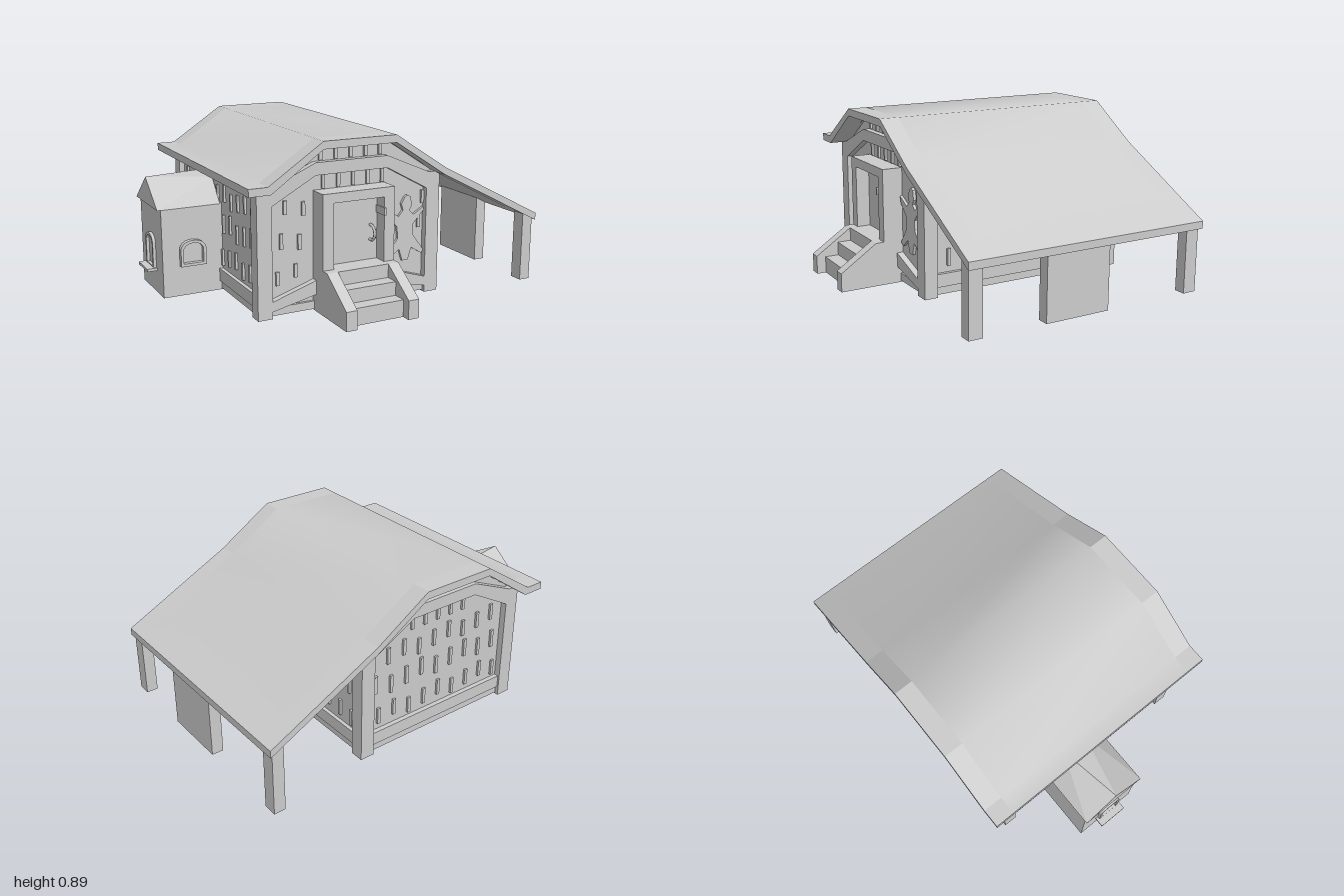
import * as THREE from 'three';
import { toCreasedNormals } from 'three/addons/utils/BufferGeometryUtils.js';
import { ConvexGeometry } from 'three/addons/geometries/ConvexGeometry.js';

const MAT = new THREE.MeshStandardMaterial({ color: 0xcccccc });
const CX = -0.115;                      // middle of the house in x
const FRONT = 0.49, BACK = -0.715;      // outer faces of the corner posts
const LEFT = 0.41, RIGHT = -0.64;

const mirrorX = (pts) => pts.map(([x, y]) => [2 * CX - x, y]);
const shapeOf = (pts) => new THREE.Shape(pts.map(([x, y]) => new THREE.Vector2(x, y)));

function add(parent, name, geometry) {
  const mesh = new THREE.Mesh(geometry, MAT);
  mesh.name = name;
  parent.add(mesh);
  return mesh;
}

// Box given by its limits on each axis
function box(parent, name, x0, x1, y0, y1, z0, z1) {
  const g = new THREE.BoxGeometry(x1 - x0, y1 - y0, z1 - z0);
  g.translate((x0 + x1) / 2, (y0 + y1) / 2, (z0 + z1) / 2);
  return add(parent, name, g);
}

// Outline in x, y pulled from z0 to z1
function slab(pts, z0, z1) {
  const g = new THREE.ExtrudeGeometry(shapeOf(pts), { depth: z1 - z0, bevelEnabled: false });
  return g.translate(0, 0, z0);
}

// Outline in z, y pulled from x0 to x1
function sideSlab(pts, x0, x1) {
  const g = slab(pts.map(([z, y]) => [-z, y]), x0, x1);
  return g.rotateY(Math.PI / 2);
}

// Arched window facing +z, standing on y = 0
function archWindow(name, w, h, depth) {
  const group = new THREE.Group();
  group.name = name;
  const arch = (s, hw, y0, top) => {
    s.moveTo(-hw, y0);
    s.lineTo(hw, y0);
    s.lineTo(hw, top - hw * 0.6);
    s.quadraticCurveTo(hw * 0.8, top, 0, top);
    s.quadraticCurveTo(-hw * 0.8, top, -hw, top - hw * 0.6);
    s.closePath();
    return s;
  };
  const frame = arch(new THREE.Shape(), w / 2, 0, h);
  frame.holes.push(arch(new THREE.Path(), w / 2 - 0.015, 0.015, h - 0.015));
  add(group, 'windowFrame', new THREE.ExtrudeGeometry(frame, { depth, bevelEnabled: false, curveSegments: 6 }));
  return group;
}

function buildRoof(root) {
  const outline = [
    [1, 0.34], [1, 0.38], [0.39, 0.695], [0.09, 0.89], [-0.32, 0.89], [-0.615, 0.695],
    [-0.715, 0.695], [-0.715, 0.655], [-0.6, 0.655], [-0.32, 0.85], [0.09, 0.85], [0.39, 0.655],
  ];
  // Faceted rims at both ends, softly shaded between them
  add(root, 'roofFrontRim', slab(outline, 0.47, 0.575));
  add(root, 'roof', toCreasedNormals(slab(outline, -0.7, 0.47), 0.7));
  add(root, 'roofBackRim', slab(outline, -0.805, -0.7));
}

function buildWalls(root) {
  const body = [
    [-0.61, 0.02], [0.38, 0.02], [0.38, 0.67], [0.09, 0.86], [-0.32, 0.86], [-0.61, 0.67],
  ];
  add(root, 'walls', slab(body, BACK + 0.035, FRONT - 0.035));

  // Corner posts
  for (const x of [RIGHT, LEFT - 0.08])
    for (const z of [BACK, FRONT - 0.075])
      box(root, 'cornerPost', x, x + 0.08, 0, 0.66, z, z + 0.075);

  // Bent beam across each gable
  const beam = [
    [-0.6, 0.65], [-0.56, 0.575], [-0.32, 0.706], [0.09, 0.706],
    [0.33, 0.575], [0.37, 0.65], [0.09, 0.77], [-0.32, 0.77],
  ];
  add(root, 'frontGableBeam', slab(beam, FRONT - 0.05, FRONT));
  add(root, 'backGableBeam', slab(beam, BACK, BACK + 0.05));

  // Sills and skirts
  const brace = [[-0.57, 0.035], [-0.32, 0.09], [-0.32, 0.165], [-0.57, 0.085]];
  for (const pts of [brace, mirrorX(brace)])
    add(root, 'frontSill', slab(pts, FRONT - 0.05, FRONT));
  box(root, 'backSill', -0.57, 0.34, 0.05, 0.12, BACK + 0.01, BACK + 0.05);
  for (const x of [RIGHT + 0.01, LEFT - 0.05]) {
    box(root, 'sideSill', x, x + 0.04, 0.05, 0.12, BACK + 0.07, FRONT - 0.07);
    box(root, 'sideTopBeam', x, x + 0.04, 0.61, 0.66, BACK + 0.07, FRONT - 0.07);
  }
  box(root, 'skirt', RIGHT + 0.02, LEFT - 0.02, 0.008, 0.05, BACK + 0.02, FRONT - 0.02);
}

// Small raised strips that mark the plank joints
function buildPlankJoints(root) {
  const T = 0.012, W = 0.018;
  const rows = [[0.14, 0.23], [0.31, 0.41], [0.47, 0.56]];
  rows.forEach(([y0, y1], r) => {
    for (let i = 0; i < 9; i++) {
      const x = -0.53 + i * 0.1 + r * 0.022;
      const y = 0.015 * ((i * 2 + r) % 3);
      box(root, 'plankJoint', x, x + W, y0 + y, y1 + y, BACK + 0.035 - T, BACK + 0.04);
      if (x < -0.34 || x > 0.28)
        box(root, 'plankJoint', x, x + W, y0 + y + 0.02, y1 + y, FRONT - 0.04, FRONT - 0.035 + T);
    }
    for (let i = 0; i < 11; i++) {
      const z = -0.61 + i * 0.094 + r * 0.02;
      const y = 0.015 * ((i + r) % 3);
      box(root, 'plankJoint', LEFT - 0.035, LEFT - 0.03 + T, y0 + y, y1 + y, z, z + W);
      box(root, 'plankJoint', RIGHT + 0.03 - T, RIGHT + 0.035, y0 + y, y1 + y, z, z + W);
    }
  });
  // Short joints above and below the gable beams
  for (const [z0, z1] of [[FRONT - 0.04, FRONT - 0.035 + T], [BACK + 0.035 - T, BACK + 0.04]])
    for (let i = 0; i < 5; i++) {
      const x = -0.29 + i * 0.085;
      box(root, 'gableJoint', x, x + W, 0.775, 0.845, z0, z1);
      box(root, 'gableJoint', x + 0.015, x + 0.015 + W, 0.63, 0.7, z0, z1);
    }
}

function buildEntrance(root) {
  const group = new THREE.Group();
  group.name = 'entrance';
  root.add(group);
  for (const x of [-0.32, 0.03]) {
    box(group, 'doorJamb', x, x + 0.06, 0, 0.575, 0.44, 0.565);
    add(group, 'stairCheek', sideSlab(
      [[0.81, 0], [0.81, 0.1], [0.61, 0.235], [0.45, 0.235], [0.45, 0]], x, x + 0.06));
  }
  box(group, 'doorLintel', -0.32, 0.09, 0.575, 0.625, 0.44, 0.565);
  box(group, 'door', -0.26, 0.03, 0.16, 0.575, 0.45, 0.49);
  for (let i = 0; i < 3; i++)
    box(group, 'step', -0.26, 0.03, 0, 0.09 + i * 0.0725, 0.45, 0.76 - i * 0.075);
  box(group, 'doorHinge', 0.025, 0.035, 0.48, 0.52, 0.49, 0.575);

  // Ring handle, edge on to the front
  const ring = new THREE.TorusGeometry(0.04, 0.008, 6, 16).rotateY(Math.PI / 2);
  add(group, 'doorHandle', ring.translate(-0.01, 0.38, 0.5));
}

// Stretched hide hung beside the door
function buildHide(root) {
  const outline = [
    [0.21, 0.535], [0.225, 0.545], [0.245, 0.535], [0.255, 0.485], [0.24, 0.46], [0.265, 0.435],
    [0.325, 0.47], [0.33, 0.455], [0.26, 0.38], [0.265, 0.325], [0.33, 0.235], [0.32, 0.215],
    [0.255, 0.255], [0.235, 0.19], [0.2, 0.19], [0.18, 0.255], [0.125, 0.21], [0.1, 0.225],
    [0.17, 0.315], [0.165, 0.38], [0.105, 0.435], [0.095, 0.475], [0.175, 0.435], [0.2, 0.465],
    [0.19, 0.5],
  ];
  add(root, 'hide', slab(outline, FRONT - 0.04, FRONT - 0.02));
}

function buildAnnex(root) {
  const group = new THREE.Group();
  group.name = 'annex';
  root.add(group);
  box(group, 'annexWalls', -0.945, -0.6, 0, 0.485, -0.412, -0.055);
  // Gable end outside, ridge widening towards the house
  const corners = [
    [-0.965, 0.48, -0.42], [-0.965, 0.48, -0.05], [-0.965, 0.625, -0.235],
    [-0.62, 0.48, -0.42], [-0.62, 0.48, -0.05], [-0.62, 0.625, -0.295], [-0.62, 0.607, -0.155],
  ];
  add(group, 'annexRoof', new ConvexGeometry(corners.map((c) => new THREE.Vector3(...c))));

  const front = archWindow('frontWindow', 0.14, 0.14, 0.03);
  front.position.set(-0.782, 0.165, -0.058);
  const outer = archWindow('sideWindow', 0.13, 0.19, 0.018);
  outer.rotation.y = -Math.PI / 2;
  outer.position.set(-0.943, 0.13, -0.235);
  group.add(front, outer);
  box(group, 'windowSill', -1, -0.94, 0.125, 0.14, -0.315, -0.155);
}

// Supports under the long side of the roof
function buildLeanTo(root) {
  const outline = [[0.92, 0], [0.983, 0], [0.983, 0.36], [0.92, 0.392]];
  for (const [name, z0, z1] of [
    ['frontPost', 0.49, 0.565], ['supportWall', -0.225, 0.14], ['backPost', -0.79, -0.715],
  ]) add(root, name, slab(outline, z0, z1));
}

export function createModel() {
  const root = new THREE.Group();
  root.name = 'cabin';
  buildRoof(root);
  buildWalls(root);
  buildPlankJoints(root);
  buildEntrance(root);
  buildHide(root);
  buildAnnex(root);
  buildLeanTo(root);
  return root;
}
